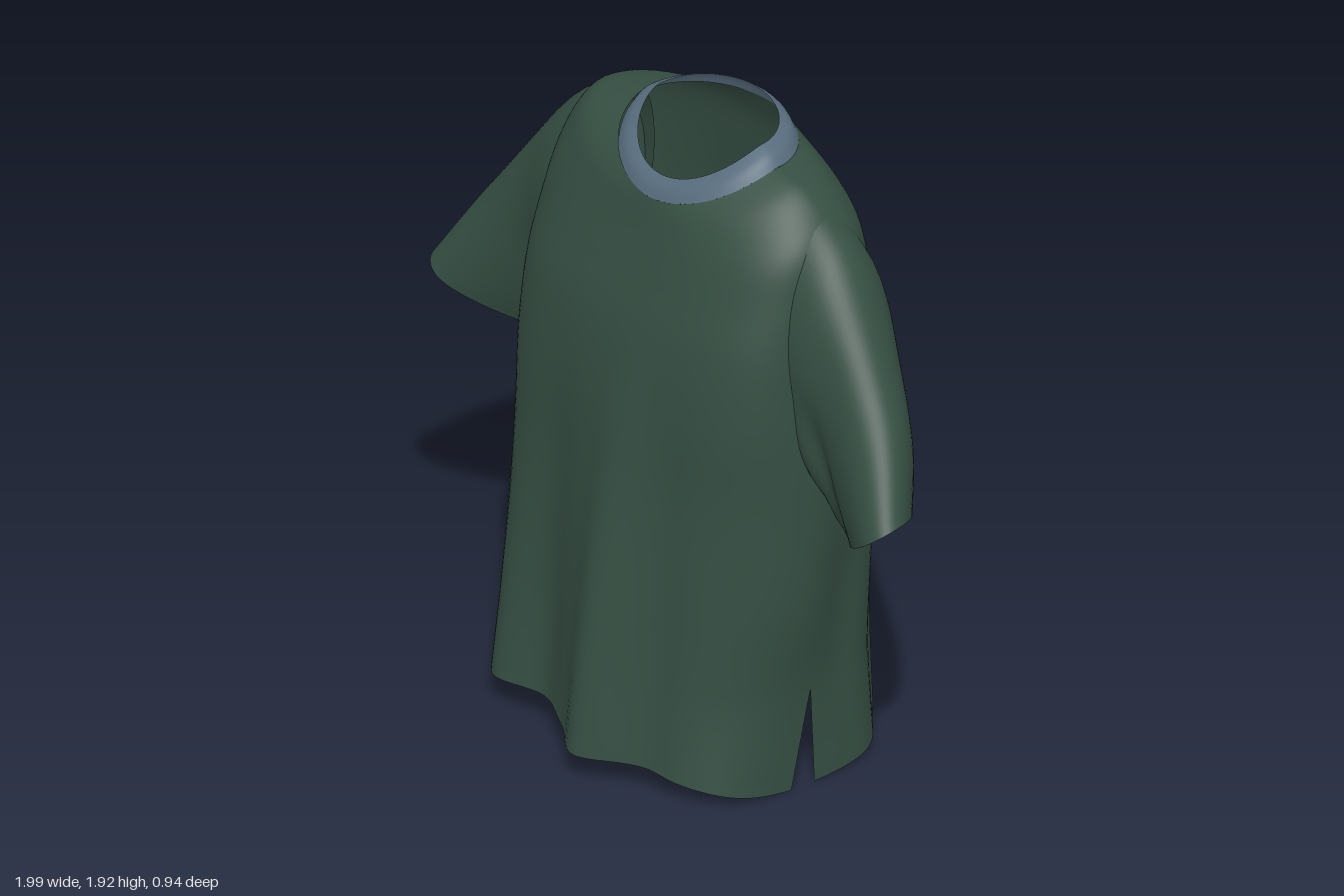
import * as THREE from 'three';
import { mergeGeometries, mergeVertices } from 'three/addons/utils/BufferGeometryUtils.js';

const bump = (x, centre, width) => Math.exp(-(((x - centre) / width) ** 2));
const fade = (y, low, high) => 1 - THREE.MathUtils.smoothstep(y, low, high);

// Smooth interpolation between table rows, t from 0 to 1
function sampleRows(rows, t) {
  const p = t * (rows.length - 1);
  const i = Math.min(Math.floor(p), rows.length - 2);
  const f = p - i;
  const row = (k) => rows[THREE.MathUtils.clamp(k, 0, rows.length - 1)];
  return rows[i].map((b, k) => {
    const a = row(i - 1)[k], c = row(i + 1)[k], d = row(i + 2)[k];
    return b + 0.5 * f * (c - a + f * (2 * a - 5 * b + 4 * c - d + f * (3 * (b - c) + d - a)));
  });
}

// Sheet of quads from point(u, v); skip(centre) leaves openings
function sheet(nu, nv, point, skip = () => false) {
  const pts = [], index = [];
  for (let j = 0; j <= nv; j++) {
    for (let i = 0; i <= nu; i++) pts.push(point(i / nu, j / nv));
  }
  for (let j = 0; j < nv; j++) {
    for (let i = 0; i < nu; i++) {
      const a = j * (nu + 1) + i, b = a + 1, c = a + nu + 1, d = c + 1;
      if (skip(pts[a].clone().add(pts[d]).multiplyScalar(0.5))) continue;
      index.push(a, c, b, b, c, d);
    }
  }
  const geometry = new THREE.BufferGeometry().setFromPoints(pts);
  geometry.setIndex(index);
  return geometry;
}

function weld(parts) {
  const geometry = mergeVertices(mergeGeometries(parts), 1e-4);
  geometry.computeVertexNormals();
  return geometry;
}

// Point on a rounded section:
// row = [yFront, ySide, yBack, xRight, xLeft, zFront, zSide, zBack, squareness front, squareness back]
function ringPoint(row, angle) {
  const [yF, yS, yB, xR, xL, zF, zS, zB, nF, nB] = row;
  const c = Math.cos(angle), s = Math.sin(angle);
  const n = s > 0 ? nF : nB;
  const r = (Math.abs(c) ** n + Math.abs(s) ** n) ** (-1 / n);
  const ux = c * r, uz = Math.abs(s) < 1e-6 ? 0 : s * r;
  const w = Math.abs(uz) ** 1.35;
  const p = new THREE.Vector3(
    (xL + xR) / 2 + ux * (xL - xR) / 2,
    yS + ((uz > 0 ? yF : yB) - yS) * w,
    zS + (uz > 0 ? zF - zS : zS - zB) * uz
  );
  return { p, ux, uz };
}

const bodyRows = [
  [0.09, 0.027, 0.06, -0.555, 0.51, 0.385, -0.005, -0.40, 3.1, 3.4],
  [0.30, 0.30, 0.30, -0.58, 0.515, 0.365, -0.03, -0.40, 2.7, 3],
  [0.60, 0.60, 0.60, -0.60, 0.555, 0.34, -0.04, -0.395, 2.4, 2.8],
  [0.90, 0.90, 0.90, -0.60, 0.565, 0.31, -0.06, -0.385, 2.5, 3],
  [1.15, 1.15, 1.15, -0.575, 0.56, 0.285, -0.08, -0.37, 3, 3.7],
  [1.35, 1.36, 1.36, -0.56, 0.55, 0.255, -0.09, -0.365, 3.1, 3.6],
  [1.49, 1.55, 1.55, -0.55, 0.54, 0.215, -0.10, -0.352, 2.8, 3],
  [1.58, 1.67, 1.67, -0.53, 0.52, 0.187, -0.10, -0.34, 2.6, 2.7],
  [1.64, 1.75, 1.75, -0.49, 0.47, 0.17, -0.10, -0.325, 2.4, 2.4],
  [1.68, 1.81, 1.81, -0.42, 0.40, 0.16, -0.09, -0.305, 2.2, 2.2],
  [1.71, 1.84, 1.86, -0.27, 0.31, 0.15, -0.08, -0.285, 2, 2],
];

// Body point with hanging folds, uneven hem and side slits
function bodyPoint(angle, v, side) {
  const { p, ux, uz } = ringPoint(sampleRows(bodyRows, v), angle);
  const { x, y } = p;
  if (side > 0) {
    p.z += uz * uz * fade(y, 0.1, 1.5) *
      (0.085 * bump(x, 0.08, 0.1) - 0.06 * bump(x, -0.22, 0.11) - 0.02 * bump(x, 0.27, 0.07) + 0.025 * bump(x, -0.42, 0.07));
  } else {
    p.z += uz * uz * fade(y, 0.8, 1.7) *
      (0.06 * bump(x, 0, 0.11) - 0.075 * bump(x, -0.24, 0.085) - 0.065 * bump(x, 0.27, 0.09));
  }
  // Hollow in each side below the sleeve
  p.x -= 0.05 * ux ** 3 * bump(y, 0.6, 0.28) * bump(p.z, -0.17, 0.1);
  // Right shoulder sits a little higher
  p.y += 0.02 * Math.max(0, -ux) * bump(y, 1.75, 0.07);
  const low = Math.max(0, 1 - y / 0.3);
  p.y -= 0.025 * ux * low;
  p.z += side * (ux > 0 ? 0.045 : 0.02) * low * Math.abs(ux) ** 8;
  return p;
}

const inArmhole = (p) =>
  Math.abs(p.x) > 0.42 && ((p.y - 1.36) / 0.35) ** 2 + ((p.z + 0.09) / 0.13) ** 2 < 1;

// Sleeve sections: top point, bottom point, half-width vector
const sleeveRows = [
  [0.40, 1.785, -0.11, 0.54, 0.97, -0.09, 0, 0, 0.17],
  [0.565, 1.675, -0.11, 0.57, 0.93, -0.09, 0, 0, 0.168],
  [0.71, 1.49, -0.07, 0.60, 0.90, -0.10, -0.01, -0.01, 0.14],
  [0.865, 1.25, 0.01, 0.63, 0.86, -0.13, -0.04, -0.04, 0.108],
  [0.99, 1.025, 0.095, 0.655, 0.84, -0.15, -0.035, -0.04, 0.082],
];

function sleevePoint(angle, t, side) {
  const r = sampleRows(sleeveRows, t);
  const square = (Math.cos(angle) ** 4 + Math.sin(angle) ** 4) ** (-0.1 * t);
  const c = Math.cos(angle) * square, s = Math.sin(angle) * square;
  const [x, y, z] = [0, 1, 2].map(
    (k) => (r[k] + r[k + 3]) / 2 + c * (r[k] - r[k + 3]) / 2 + s * r[k + 6]
  );
  // Soft crease down the front of the sleeve
  const crease = 0.02 * Math.sin(Math.PI * t) * Math.max(0, s) * bump(c, -0.25, 0.3);
  // Right sleeve hangs higher, with its underside swung back
  const lift = side < 0 ? 0.03 + 0.032 * t : 0;
  const swing = side < 0 ? 0.035 * t * (1 - c) + 0.01 * t : 0;
  return new THREE.Vector3(side * x, y + lift, z - crease - swing);
}

const collarRows = [
  [1.71, 1.84, 1.86, -0.27, 0.31, 0.15, -0.08, -0.285, 2, 2],
  [1.743, 1.87, 1.90, -0.245, 0.285, 0.133, -0.08, -0.268, 2, 2],
  [1.765, 1.888, 1.92, -0.205, 0.245, 0.105, -0.08, -0.24, 2, 2],
];

export function createModel() {
  const fabric = new THREE.MeshStandardMaterial({ color: 0x354e42, side: THREE.DoubleSide });
  fabric.name = 'green fabric';
  const ribbing = new THREE.MeshStandardMaterial({ color: 0x566b7c, side: THREE.DoubleSide });
  ribbing.name = 'blue grey ribbing';

  const shirt = new THREE.Group();
  shirt.name = 'shirt';
  const add = (name, parts, material) => {
    const mesh = new THREE.Mesh(weld(parts), material);
    mesh.name = name;
    shirt.add(mesh);
  };

  // Front and back panels, joined above the slits
  add('body', [1, -1].map((side) => sheet(72, 80,
    (u, v) => bodyPoint(Math.PI * (side > 0 ? u : 1 + u), v, side), inArmhole)), fabric);

  // Sleeves
  for (const [name, side] of [['leftSleeve', 1], ['rightSleeve', -1]]) {
    add(name, [sheet(64, 32, (u, t) => sleevePoint(2 * Math.PI * u * side, t, side))], fabric);
  }

  // Neck band
  add('collar', [sheet(96, 8, (u, v) => ringPoint(sampleRows(collarRows, v), 2 * Math.PI * u).p)], ribbing);

  return shirt;
}
